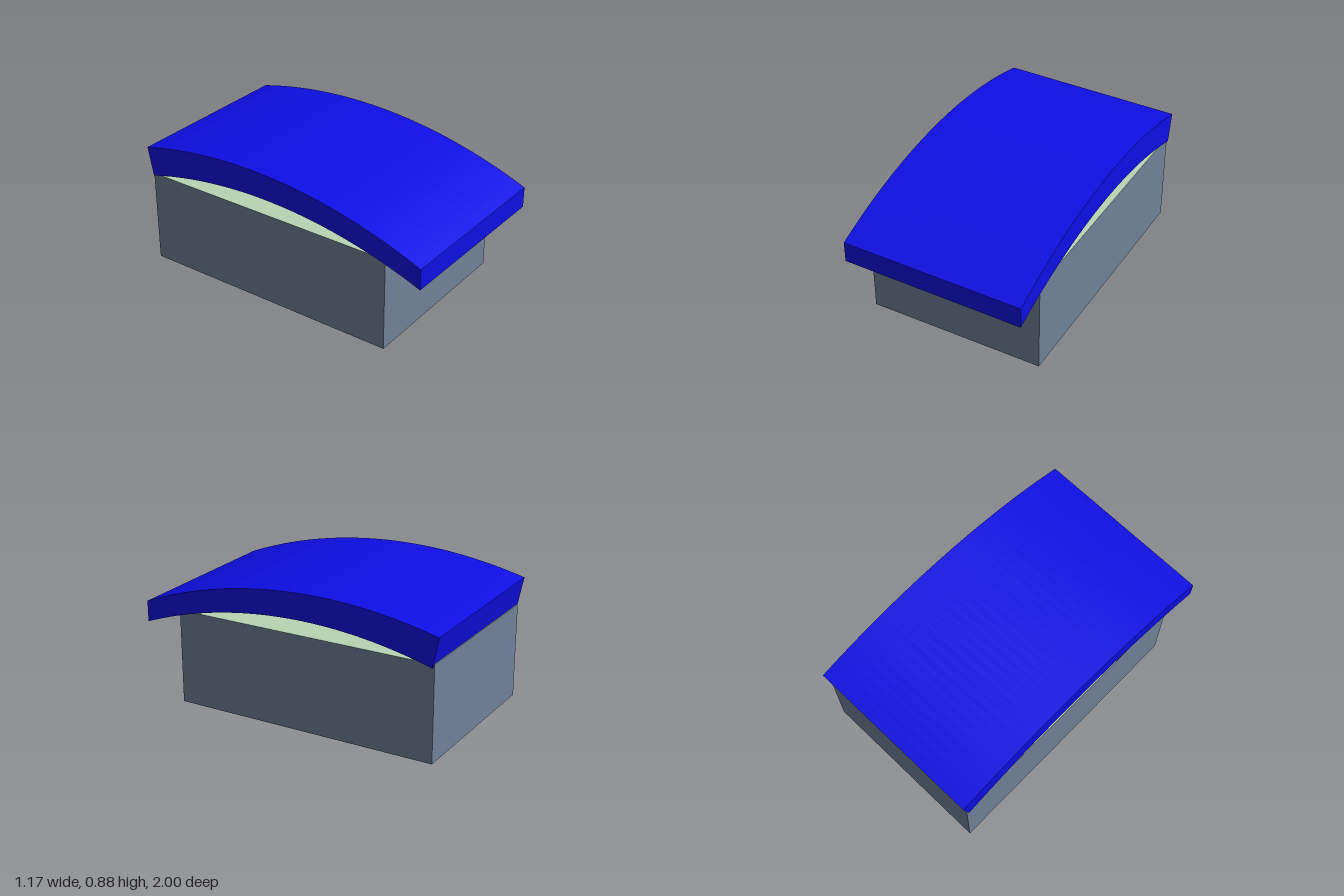
import * as THREE from 'three';
import { toCreasedNormals } from 'three/addons/utils/BufferGeometryUtils.js';

const paint = (name, color) => {
  const m = new THREE.MeshStandardMaterial({ color });
  m.name = name;
  return m;
};

// Points along the circle that passes through both ends and peaks at height top
function arc(z0, y0, z1, y1, top, steps = 32) {
  const a = Math.sqrt(top - y0), b = Math.sqrt(top - y1);
  const peak = z0 + (z1 - z0) * a / (a + b);
  const drop = top - y0, run = z0 - peak;
  const r = (run * run + drop * drop) / (2 * drop);
  return Array.from({ length: steps + 1 }, (_, i) => {
    const z = z0 + (z1 - z0) * i / steps;
    return new THREE.Vector2(-z, top - r + Math.sqrt(r * r - (z - peak) ** 2));
  });
}

export function createModel() {
  const wall = paint('slate wall', 0x708299);
  const ceiling = paint('pale green ceiling', 0xb8d6b4);
  const floor = paint('light grey floor', 0xdcdcdc);
  const roofBlue = paint('blue roof', 0x0e0ee6);
  const model = new THREE.Group();
  model.name = 'curvedRoofBuilding';

  // Body: slate sides, green top, grey underside
  const body = new THREE.Mesh(
    new THREE.BoxGeometry(1.142, 0.605, 1.73),
    [wall, wall, ceiling, floor, wall, wall]
  );
  body.name = 'body';
  body.position.set(0, 0.3025, -0.105);
  model.add(body);

  // Roof: thick arched slab, drawn in side profile and extruded across the width
  const upper = arc(1, 0.631, -1, 0.774, 0.875);
  const lower = arc(1, 0.497, -0.962, 0.588, 0.708);
  const profile = new THREE.Shape([...lower, ...upper.reverse()]);
  const width = 1.166;
  const slab = new THREE.ExtrudeGeometry(profile, { depth: width, bevelEnabled: false });
  slab.translate(0, 0, -width / 2).rotateY(Math.PI / 2);

  // Slight sideways fall of the roof
  const pos = slab.attributes.position;
  for (let i = 0; i < pos.count; i++) pos.setY(i, pos.getY(i) - 0.0105 * pos.getX(i));

  const roof = new THREE.Mesh(toCreasedNormals(slab, 0.5), roofBlue);
  roof.name = 'roof';
  model.add(roof);
  return model;
}
